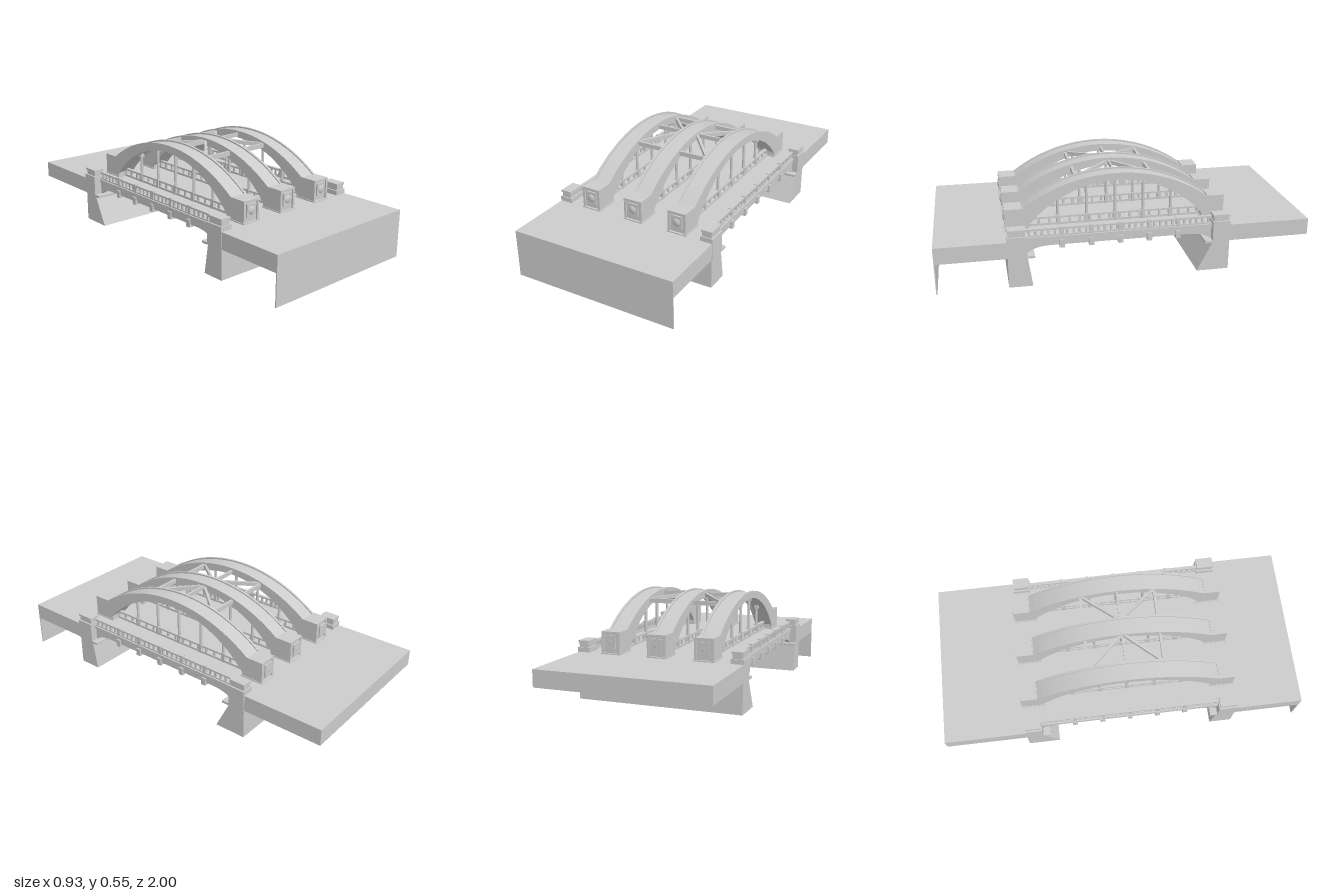
import * as THREE from 'three';

const mat = new THREE.MeshStandardMaterial({ color: 0xcccccc, side: THREE.DoubleSide });
const MID = 0.035;          // z of the middle of the span
const DECK = 0.26;          // road level
const HANGERS = [-0.31, -0.155, 0, 0.155, 0.31];

function add(parent, name, geo, x = 0, y = 0, z = 0) {
  const m = new THREE.Mesh(geo, mat);
  m.name = name;
  m.position.set(x, y, z);
  parent.add(m);
  return m;
}

// box given by its limits on each axis
function box(parent, name, x0, x1, y0, y1, z0, z1) {
  return add(parent, name, new THREE.BoxGeometry(x1 - x0, y1 - y0, z1 - z0),
    (x0 + x1) / 2, (y0 + y1) / 2, (z0 + z1) / 2);
}

// side profile (z, y) extruded across x, centred on x
function slice(parent, name, shape, x, width) {
  const g = new THREE.ExtrudeGeometry(shape, { depth: width, bevelEnabled: false, curveSegments: 36 });
  g.translate(0, 0, -width / 2);
  g.rotateY(-Math.PI / 2);
  return add(parent, name, g, x);
}

// straight bar between two points
function bar(parent, name, a, b, w, h) {
  const A = new THREE.Vector3(...a), B = new THREE.Vector3(...b);
  const m = add(parent, name, new THREE.BoxGeometry(w, h, A.distanceTo(B)));
  m.position.copy(A).lerp(B, 0.5);
  m.lookAt(B);
  return m;
}

const circleY = (half, base, rise) => {
  const r = (half * half + rise * rise) / (2 * rise);
  return z => base + rise - r + Math.sqrt(r * r - z * z);
};
const outerY = circleY(0.5, 0.38, 0.165);
const innerY = circleY(0.47, 0.285, 0.22);

// arch side profile with square end blocks, pulled in by d on the outside
function archShape(d) {
  const p = [[0.595 - d, DECK], [0.595 - d, 0.38 - d]];
  const n = 32;
  for (let i = 0; i <= n; i++) { const z = 0.5 - i / n; p.push([z, outerY(z) - d]); }
  p.push([-0.595 + d, 0.38 - d], [-0.595 + d, DECK], [-0.47, DECK]);
  for (let i = 0; i <= n; i++) { const z = -0.47 + 0.94 * i / n; p.push([z, innerY(z) + d / 2]); }
  p.push([0.47, DECK]);
  return new THREE.Shape(p.map(([z, y]) => new THREE.Vector2(z + MID, y)));
}

function rail(parent, x, balusters) {
  const g = new THREE.Group();
  g.name = 'railing';
  const z0 = -0.46, z1 = 0.53;
  box(g, 'bottomRail', x - 0.008, x + 0.008, DECK, 0.272, z0, z1);
  box(g, 'topRail', x - 0.009, x + 0.009, 0.298, 0.308, z0, z1);
  for (let i = 0; i < balusters; i++) {
    const z = z0 + (z1 - z0) * (i + 0.5) / balusters;
    box(g, 'baluster', x - 0.005, x + 0.005, 0.27, 0.3, z - 0.006, z + 0.006);
  }
  for (const h of HANGERS) box(g, 'railPost', x - 0.011, x + 0.011, DECK, 0.312, MID + h - 0.01, MID + h + 0.01);
  parent.add(g);
}

function arch(parent, x) {
  const g = new THREE.Group();
  g.name = 'arch';
  slice(g, 'archWeb', archShape(0.008), x, 0.08);
  for (const s of [-1, 1]) {
    slice(g, 'archRim', archShape(0), x + s * 0.046, 0.012);
    // end block: plinth, cap, raised panel and round boss
    const f = MID + s * 0.595, b = MID + s * 0.47;
    const lo = Math.min(f, b), hi = Math.max(f, b);
    box(g, 'blockPlinth', x - 0.056, x + 0.056, DECK, 0.266, lo - 0.004, hi + 0.004);
    box(g, 'blockCap', x - 0.05, x + 0.05, 0.37, 0.38, Math.min(f, f - s * 0.09), Math.max(f, f - s * 0.09));
    box(g, 'blockPanel', x - 0.03, x + 0.03, 0.29, 0.36, f - 0.007, f + 0.001);
    const boss = add(g, 'boss', new THREE.SphereGeometry(0.023, 20, 10), x, 0.325, f - s * 0.003);
    boss.scale.z = 0.5;
  }
  for (const h of HANGERS) {
    const top = innerY(h) + 0.012;
    add(g, 'hanger', new THREE.CylinderGeometry(0.008, 0.008, top - DECK, 10), x, (top + DECK) / 2, MID + h);
    box(g, 'hangerCollar', x - 0.013, x + 0.013, top - 0.025, top - 0.008, MID + h - 0.011, MID + h + 0.011);
  }
  parent.add(g);
}

// approach road: thin slab with skirts, open below
function approach(parent, name, x, zEnd, zIn, endBottom) {
  const g = new THREE.Group();
  g.name = name;
  const lo = Math.min(zEnd, zIn), hi = Math.max(zEnd, zIn), s = Math.sign(zEnd);
  box(g, 'roadSlab', x - 0.456, x + 0.456, DECK - 0.01, DECK, lo, hi);
  for (const k of [-1, 1]) {
    const e = x + k * 0.456, i = e - k * 0.008;
    box(g, 'sideSkirt', Math.min(e, i), Math.max(e, i), 0.17, DECK, lo, hi);
  }
  const e = zEnd, i = zEnd - s * 0.006;
  box(g, 'endWall', x - 0.456, x + 0.456, endBottom, DECK, Math.min(e, i), Math.max(e, i));
  parent.add(g);
}

function pier(parent, name, x, back, top, foot) {
  const g = new THREE.Group();
  g.name = name;
  const s = new THREE.Shape([[back, 0.005], [back, DECK], [top, DECK], [top, 0.165], [foot, 0.005]]
    .map(p => new THREE.Vector2(...p)));
  slice(g, 'pierWall', s, x, 0.91);
  const lo = Math.min(back, top), hi = Math.max(back, top);
  for (const k of [-1, 1]) {
    // stepped pylon at each end of the pier
    const c = x + k * 0.425;
    box(g, 'pylonBase', c - 0.035, c + 0.035, DECK - 0.09, 0.285, lo, hi);
    box(g, 'pylonShaft', c - 0.026, c + 0.026, 0.285, 0.312, lo + 0.006, hi - 0.006);
    box(g, 'pylonCap', c - 0.03, c + 0.03, 0.31, 0.322, lo + 0.002, hi - 0.002);
  }
  // ledge that carries the span
  const d = Math.sign(top - back) * 0.04;
  box(g, 'bearingLedge', x - 0.46, x + 0.46, 0.165, 0.178, Math.min(top, top + d), Math.max(top, top + d));
  parent.add(g);
}

export function createModel() {
  const model = new THREE.Group();
  model.name = 'archBridge';

  approach(model, 'frontApproach', 0, 1, 0.53, 0);
  approach(model, 'backApproach', -0.008, -1, -0.46, 0.17);
  pier(model, 'frontPier', 0, 0.63, 0.53, 0.505);
  pier(model, 'backPier', -0.005, -0.555, -0.46, -0.38);

  // main span deck, haunched edge beams and cross beams
  const span = new THREE.Group();
  span.name = 'mainSpan';
  box(span, 'deckSlab', -0.42, 0.42, 0.235, DECK, -0.46, 0.53);
  const edge = new THREE.Shape();
  edge.moveTo(0.53, DECK);
  edge.lineTo(-0.46, DECK);
  edge.lineTo(-0.46, 0.175);
  edge.quadraticCurveTo(-0.42, 0.213, -0.33, 0.213);
  edge.lineTo(0.40, 0.213);
  edge.quadraticCurveTo(0.49, 0.213, 0.53, 0.175);
  edge.closePath();
  for (const s of [-1, 1]) {
    slice(span, 'edgeBeam', edge, s * 0.41, 0.022);
    box(span, 'edgeCornice', s * 0.415 - 0.013, s * 0.415 + 0.013, 0.25, 0.264, -0.46, 0.53);
    rail(span, s * 0.412, 30);
  }
  for (const h of HANGERS) box(span, 'crossBeam', -0.43, 0.43, 0.198, 0.24, MID + h - 0.013, MID + h + 0.013);
  model.add(span);

  // three arches, each with a low rail between its hangers
  for (const x of [-0.258, 0, 0.258]) {
    arch(model, x);
    rail(model, x, 18);
  }

  // bracing between the arch crowns
  const bracing = new THREE.Group();
  bracing.name = 'crownBracing';
  for (const s of [-1, 1]) {
    box(bracing, 'crownPlate', Math.min(s * 0.05, s * 0.21), Math.max(s * 0.05, s * 0.21), 0.51, 0.533, MID - 0.008, MID + 0.002);
    for (const k of [-1, 1]) {
      const z = MID + k * 0.205;
      bar(bracing, 'crossStrut', [s * 0.045, 0.498, z], [s * 0.215, 0.498, z], 0.014, 0.024);
      bar(bracing, 'diagonalStrut', [s * 0.045, 0.521, MID + k * 0.005], [s * 0.215, 0.5, z], 0.014, 0.022);
    }
  }
  model.add(bracing);
  return model;
}
